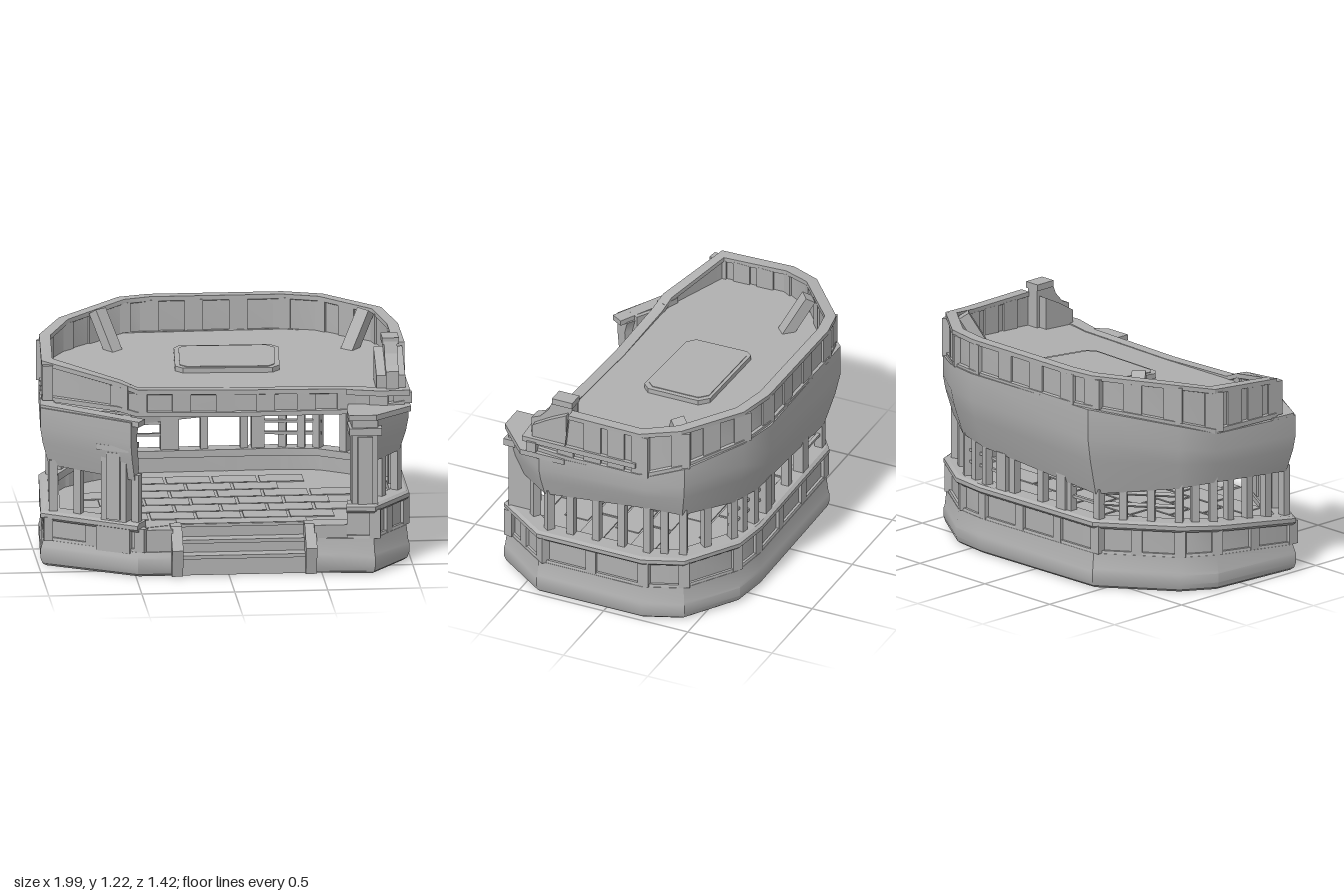
import * as THREE from 'three';
import { toCreasedNormals } from 'three/addons/utils/BufferGeometryUtils.js';

const stone = new THREE.MeshStandardMaterial({ color: 0xb0b0b0, side: THREE.DoubleSide });
stone.name = 'grey';

export function createModel() {
  const root = new THREE.Group();
  const add = (name, geo) => {
    const m = new THREE.Mesh(geo, stone);
    m.name = name;
    root.add(m);
    return m;
  };
  // Axis-aligned box from its limits
  const box = (name, x0, x1, y0, y1, z0, z1) => {
    const m = add(name, new THREE.BoxGeometry(x1 - x0, y1 - y0, z1 - z0));
    m.position.set((x0 + x1) / 2, (y0 + y1) / 2, (z0 + z1) / 2);
    return m;
  };
  // Beam between two points
  const beam = (name, a, b, w, d, turn = 0) => {
    const p = new THREE.Vector3(...a), q = new THREE.Vector3(...b), dir = q.clone().sub(p);
    const m = add(name, new THREE.BoxGeometry(w, dir.length(), d).rotateY(turn));
    m.position.copy(p).add(q).multiplyScalar(0.5);
    m.quaternion.setFromUnitVectors(new THREE.Vector3(0, 1, 0), dir.normalize());
    return m;
  };
  // Mitred outward normals of a plan path
  const normals = (path, closed) => {
    const n = path.length;
    const seg = i => {
      const a = path[(i + n) % n], b = path[(i + 1 + n) % n];
      const dx = b[0] - a[0], dz = b[1] - a[1], l = Math.hypot(dx, dz);
      return [dz / l, -dx / l];
    };
    return path.map((_, i) => {
      const u = seg(!closed && i === 0 ? 0 : i - 1), v = seg(!closed && i === n - 1 ? n - 2 : i);
      const k = Math.max(0.6, 1 + u[0] * v[0] + u[1] * v[1]);
      return [(u[0] + v[0]) / k, (u[1] + v[1]) / k];
    });
  };
  // Sweep a closed section, rows of [offset, y], along a plan path
  const sweep = (name, path, section, closed = false) => {
    const nor = normals(path, closed), n = path.length, pos = [];
    const rings = path.map((p, i) => section(p, i).map(([o, y]) =>
      [p[0] + nor[i][0] * o, y, p[1] + nor[i][1] * o]));
    const m = rings[0].length;
    for (let i = 0; i < (closed ? n : n - 1); i++) for (let j = 0; j < m; j++) {
      const A = rings[i], B = rings[(i + 1) % n], k = (j + 1) % m;
      pos.push(...A[j], ...A[k], ...B[k], ...A[j], ...B[k], ...B[j]);
    }
    if (!closed) for (const i of [0, n - 1]) {
      const flat = section(path[i], i).map(s => new THREE.Vector2(...s));
      for (const t of THREE.ShapeUtils.triangulateShape(flat, [])) t.forEach(v => pos.push(...rings[i][v]));
    }
    const g = new THREE.BufferGeometry();
    g.setAttribute('position', new THREE.Float32BufferAttribute(pos, 3));
    return add(name, toCreasedNormals(g, 0.5));
  };
  // Upright members spread over each path segment; path rows are [x, z, bottom, top]
  const uprights = (name, path, counts, w, d, inset) => counts.forEach((c, i) => {
    const a = path[i], b = path[(i + 1) % path.length];
    const yaw = -Math.atan2(b[1] - a[1], b[0] - a[0]);
    for (let k = 0; k < c; k++) {
      const v = a.map((s, j) => s + (b[j] - s) * (k / c));
      const m = box(name, -w / 2, w / 2, v[2], v[3], -d / 2, d / 2);
      m.position.x = v[0] + Math.sin(yaw) * inset;
      m.position.z = v[1] + Math.cos(yaw) * inset;
      m.rotation.y = yaw;
    }
  });
  // Horizontal plate with a plan outline, shaped by a height rule
  const plate = (name, pts, thick, height) => {
    const g = new THREE.ExtrudeGeometry(new THREE.Shape(pts.map(p => new THREE.Vector2(p[0], -p[1]))),
      { depth: thick, bevelEnabled: false }).rotateX(-Math.PI / 2);
    const p = g.attributes.position;
    for (let i = 0; i < p.count; i++) p.setY(i, p.getY(i) + height(p.getZ(i)));
    g.computeVertexNormals();
    return add(name, g);
  };
  // Side profile of [z, y] given a width along x
  const profile = (name, pts, x0, x1) => {
    const g = new THREE.ExtrudeGeometry(new THREE.Shape(pts.map(p => new THREE.Vector2(-p[0], p[1]))),
      { depth: x1 - x0, bevelEnabled: false }).rotateY(Math.PI / 2);
    return add(name, g.translate(x0, 0, 0));
  };

  // Lower storey: rows are [x, z, skirt top, ledge top]
  const base = [[-0.29, 0.65, 0.14, 0.3], [-0.49, 0.65, 0.14, 0.3], [-0.985, 0.36, 0.15, 0.31],
    [-0.95, -0.18, 0.2, 0.38], [-0.84, -0.36, 0.2, 0.39], [-0.46, -0.64, 0.2, 0.39], [0.4, -0.65, 0.2, 0.39],
    [0.61, -0.62, 0.2, 0.39], [0.9, -0.43, 0.2, 0.39], [0.985, -0.22, 0.2, 0.39],
    [0.985, 0.4, 0.2, 0.39], [0.78, 0.69, 0.2, 0.39], [0.63, 0.67, 0.2, 0.39], [0.44, 0.65, 0.2, 0.3]];
  sweep('skirt', base, p => [[-0.025, 0.005], [-0.005, 0.02], [0.005, 0.05], [0.005, 0.1], [0, 0.115], [-0.01, p[2]],
    [-0.06, p[2]], [-0.04, 0.02]]);
  const wall = base.slice(1, -1);
  sweep('panelWall', wall, p => [[-0.03, p[2] - 0.01], [-0.03, p[3] - 0.03], [-0.06, p[3] - 0.03], [-0.06, p[2] - 0.01]]);
  sweep('lowerRail', wall, p => [[-0.01, p[2] - 0.01], [-0.016, p[2] + 0.015], [-0.05, p[2] + 0.015], [-0.05, p[2] - 0.01]]);
  sweep('windowLedge', wall, p => [[-0.012, p[3] - 0.05], [0.005, p[3] - 0.035], [0.005, p[3] - 0.012],
    [-0.012, p[3]], [-0.1, p[3]], [-0.1, p[3] - 0.04]]);
  uprights('basePilaster', wall.map(p => [p[0], p[1], p[2], p[3] - 0.03]),
    [2, 2, 1, 2, 3, 1, 1, 1, 2, 2, 1], 0.06, 0.05, 0.037);

  // Upper wall: rows are [x, z, bottom, top, flare]
  const upper = [[-0.51, 0.615, 0.53, 0.86, 0.035], [-0.955, 0.34, 0.56, 0.88, 0.035], [-0.92, -0.18, 0.6, 0.89, 0.035],
    [-0.82, -0.35, 0.58, 0.95, 0.05], [-0.46, -0.625, 0.53, 1.03, 0.075], [0.4, -0.635, 0.6, 1.03, 0.075],
    [0.6, -0.595, 0.62, 1.02, 0.06], [0.875, -0.41, 0.64, 0.96, 0.04], [0.94, -0.22, 0.67, 0.89, 0.035],
    [0.95, 0.38, 0.61, 0.88, 0.035], [0.76, 0.635, 0.6, 0.87, 0.035]];
  sweep('flaredWall', upper, (p, i) => {
    const f = p[4], h = p[3] - p[2], cove = i > 1 && i < 9 ? 0.2 : 0.06;
    return [[-0.01, p[2]], [f * 0.65, p[2] + h * 0.4], [f, p[2] + h * 0.65], [f, p[3]],
      [f - 0.07, p[3]], [-0.04, 0.85], [-cove, 0.84], [-cove * 0.6, 0.77], [-0.06, p[2] + 0.06], [-0.05, p[2]]];
  });
  uprights('windowColumn', upper.map((p, i) => [p[0], p[1], i < 2 ? 0.28 : 0.36, p[2] + 0.03]),
    [3, 4, 2, 3, 4, 2, 2, 2, 4, 2], 0.042, 0.045, 0.035);
  for (const x of [-0.2, 0.26]) box('wideColumn', x - 0.035, x + 0.035, 0.36, 0.6, -0.63, -0.57);
  for (const y of [0.47, 0.535]) {
    beam('windowBar', [-0.46, y, -0.59], [-0.2, y, -0.59], 0.015, 0.02);
    beam('windowBar', [0.26, y, -0.59], [0.6, y, -0.56], 0.015, 0.02);
    beam('windowBar', [-0.8, y, -0.32], [-0.46, y, -0.58], 0.015, 0.02);
  }

  // Roof parapet: rows are [x, z, bottom, top]
  const parapet = [[-0.57, 0.385, 0.86, 1.02], [-0.965, 0.23, 0.89, 1.11], [-0.94, -0.2, 0.89, 1.14],
    [-0.82, -0.39, 0.95, 1.18], [-0.48, -0.665, 1.02, 1.215], [-0.32, -0.695, 1.02, 1.22], [0.4, -0.69, 1.02, 1.22],
    [0.61, -0.64, 1.01, 1.215], [0.9, -0.41, 0.95, 1.195], [0.97, -0.2, 0.88, 1.16],
    [0.97, 0.22, 0.88, 1.165], [0.97, 0.24, 0.88, 0.97], [0.95, 0.46, 0.88, 0.97], [0.82, 0.47, 0.86, 0.97],
    [0.65, 0.43, 0.83, 0.97], [0, 0.4, 0.82, 0.97], [-0.47, 0.4, 0.83, 0.98]];
  sweep('parapet', parapet, p => {
    const [, , b, t] = p;
    return [[0.01, b], [0.01, b + 0.025], [-0.005, b + 0.03], [-0.005, t - 0.03], [0.01, t - 0.025],
      [0.01, t], [-0.05, t], [-0.05, t - 0.025], [-0.04, t - 0.03], [-0.04, b]];
  }, true);
  uprights('parapetStile', parapet.map(p => [p[0], p[1], p[2] + 0.01, p[3] - 0.02]),
    [1, 3, 1, 2, 1, 3, 1, 2, 1, 3, 0, 1, 1, 1, 3, 2, 1], 0.1, 0.056, 0.023);

  // Roof deck, ceiling and hatch
  const inner = normals(parapet, true).map((n, i) => [parapet[i][0] - n[0] * 0.03, parapet[i][1] - n[1] * 0.03]);
  plate('roofDeck', inner, 0.02, z => 0.968 - 0.06 * z);
  plate('ceiling', [[-0.56, 0.37], [-0.94, 0.24], [-0.91, -0.18], [-0.81, -0.35], [-0.46, -0.63], [0.4, -0.64],
    [0.6, -0.6], [0.87, -0.42], [0.93, -0.2], [0.93, 0.38], [0.76, 0.61], [0.66, 0.6], [0.65, 0.4], [-0.46, 0.37]],
  0.02, () => 0.83);
  const hatch = (g) => [[-0.19, -0.31], [0.3, -0.3], [0.345, -0.25], [0.32, 0.06], [0.28, 0.1], [-0.2, 0.08],
    [-0.24, 0.04], [-0.22, -0.27]].map(p => [0.05 + (p[0] - 0.05) * g, -0.1 + (p[1] + 0.1) * g]);
  plate('hatch', hatch(1), 0.03, z => 0.985 - 0.06 * z);
  plate('hatchLid', hatch(0.91), 0.006, z => 1.013 - 0.06 * z);

  // Roof posts and the tall corner post
  beam('roofPost', [-0.53, 0.98, -0.34], [-0.615, 1.2, -0.45], 0.075, 0.06, 0.7);
  beam('roofPost', [0.72, 0.98, -0.28], [0.82, 1.19, -0.365], 0.075, 0.06, -0.7);
  profile('cornerPost', [[0.46, 0.96], [0.46, 1.065], [0.41, 1.085], [0.36, 1.14], [0.335, 1.2], [0.22, 1.2],
    [0.22, 0.96]], 0.86, 0.93);
  box('cornerPostCap', 0.85, 0.94, 1.185, 1.22, 0.215, 0.335);
  profile('cornerPostFoot', [[0.44, 0.96], [0.44, 1.04], [0.34, 1.1], [0.24, 1.15], [0.24, 0.96]], 0.81, 0.965);

  // Canopies and cornices of the front corners
  sweep('upperCornice', [[0.975, -0.18], [0.975, 0.48], [0.83, 0.49], [0.65, 0.44]],
    () => [[0.012, 0.94], [0.012, 0.97], [-0.05, 0.97], [-0.05, 0.94]]);
  plate('rightCanopy', [[0.99, 0.24], [0.99, 0.5], [0.79, 0.685], [0.64, 0.685], [0.64, 0.56], [0.66, 0.42], [0.93, 0.24]],
    0.03, () => 0.855);
  sweep('leftCornice', [[-0.48, 0.64], [-0.975, 0.34], [-0.965, 0.2]], (p, i) => {
    const y = i ? 0.895 : 0.865;
    return [[0.015, y - 0.03], [0.015, y], [-0.06, y], [-0.06, y - 0.03]];
  });

  // Front pillars; the left one is turned to follow its wall
  box('rightPillar', 0.66, 0.8, 0.37, 0.86, 0.53, 0.66);
  box('rightPillarFace', 0.69, 0.77, 0.39, 0.76, 0.65, 0.675);
  box('rightPillarCap', 0.645, 0.82, 0.77, 0.81, 0.52, 0.68);
  [['leftPlinth', 0.2, 0.13, 0.29, 0.12], ['leftPillar', 0.15, 0.28, 0.7, 0.1], ['leftPillarFace', 0.08, 0.31, 0.68, 0.125],
    ['leftPillarCap', 0.19, 0.69, 0.72, 0.13], ['leftBracket', 0.13, 0.71, 0.87, 0.08]].forEach(([name, w, y0, y1, d]) => {
    box(name, -0.59 - w / 2, -0.59 + w / 2, y0, y1, 0.525 - d / 2, 0.525 + d / 2).rotation.y = -0.53;
  });

  // Tiled floor
  plate('floor', [[-0.28, 0.53], [-0.5, 0.6], [-0.92, 0.34], [-0.89, -0.17], [-0.79, -0.33], [-0.44, -0.58], [0.4, -0.59],
    [0.59, -0.57], [0.85, -0.41], [0.93, -0.2], [0.93, 0.38], [0.74, 0.61], [0.44, 0.53]], 0.012, () => 0.25);
  for (let r = 0; r < 6; r++) for (let c = 0; c < 6; c++) {
    const x = -0.75 + c * 0.25 + (r % 2) * 0.1, z = -0.46 + r * 0.15;
    if (Math.abs(x + 0.12) > (r < 2 ? 0.42 : 0.66)) continue;
    box('floorTile', x, x + 0.235, 0.244, 0.268, z, z + 0.138);
  }

  // Entrance steps with sloped cheeks and curbs
  [[0.06, 0.12, 0.655], [0.12, 0.19, 0.59], [0.19, 0.265, 0.525]].forEach(([y0, y1, z]) => {
    box('step', -0.27, 0.43, y0, y1 - 0.02, z - 0.1, z - 0.01);
    box('stepTread', -0.27, 0.43, y1 - 0.02, y1, z - 0.1, z);
  });
  box('stepBase', -0.3, 0.45, 0.01, 0.06, 0.56, 0.645);
  const cheek = [[0.67, 0.01], [0.705, 0.16], [0.6, 0.27], [0.52, 0.27], [0.52, 0.01]];
  profile('stairCheek', cheek, -0.31, -0.25);
  profile('stairCheek', cheek, 0.41, 0.47);
  box('leftCurb', -0.5, -0.3, 0.1, 0.26, 0.52, 0.63);
  box('rightCurb', 0.46, 0.65, 0.1, 0.27, 0.52, 0.64);

  return root;
}
